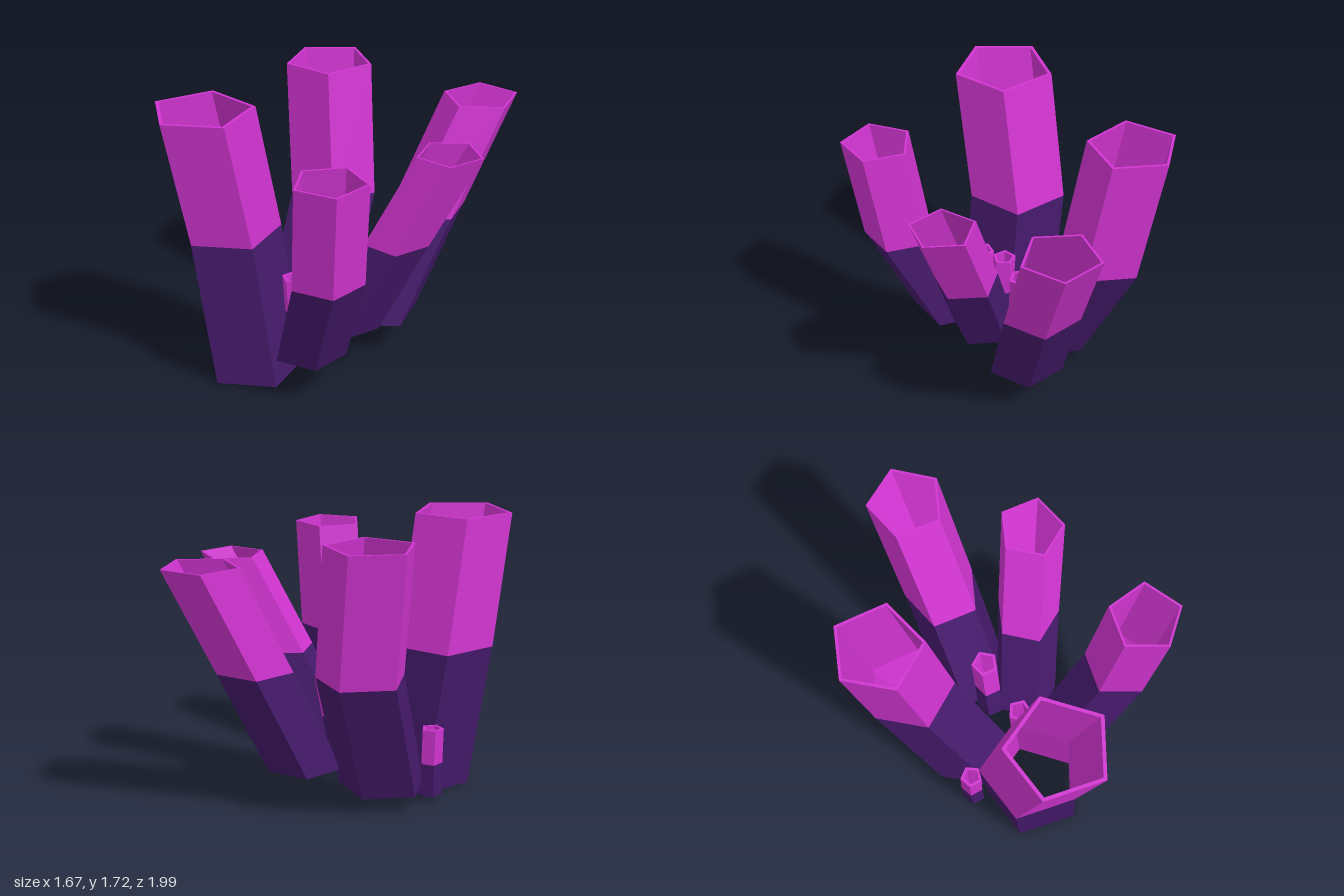
import * as THREE from 'three';

const dark = new THREE.MeshStandardMaterial({ color: 0x451a6b, flatShading: true });
const pink = new THREE.MeshStandardMaterial({ color: 0xd034d0, flatShading: true });
const SIDES = 5;

// Horizontal pentagon; turn is in degrees from +z towards +x
function ring([x, y, z], radius, turn) {
  return Array.from({ length: SIDES }, (_, i) => {
    const a = THREE.MathUtils.degToRad(turn + i * 360 / SIDES);
    return [x + radius * Math.sin(a), y, z + radius * Math.cos(a)];
  });
}

// Flat-faced skin joining successive rings
function skin(rings) {
  const pos = [];
  for (let k = 0; k + 1 < rings.length; k++) {
    const lo = rings[k], up = rings[k + 1];
    for (let i = 0; i < SIDES; i++) {
      const j = (i + 1) % SIDES;
      pos.push(...lo[i], ...lo[j], ...up[j], ...lo[i], ...up[j], ...up[i]);
    }
  }
  const geo = new THREE.BufferGeometry();
  geo.setAttribute('position', new THREE.Float32BufferAttribute(pos, 3));
  geo.computeVertexNormals();
  return geo;
}

// Hollow bent tube: dark lower shell, pink upper shell, rims and lining
function tube({ name, r, wall, turn, path }) {
  const outer = path.map(p => ring(p, r, turn));
  const inner = path.map(p => ring(p, r - wall, turn));
  const group = new THREE.Group();
  group.name = name;
  const lower = new THREE.Mesh(skin([outer[0], outer[1]]), dark);
  lower.name = 'lowerShell';
  const upper = new THREE.Mesh(
    skin([outer[1], outer[2], inner[2], inner[1], inner[0], outer[0]]), pink);
  upper.name = 'upperShellAndLining';
  group.add(lower, upper);
  return group;
}

// Each path gives the centres of the bottom, bend and top rings
const tubes = [
  { name: 'frontRightTube', r: 0.31, wall: 0.025, turn: -6.5,
    path: [[-0.365, 0, 0.49], [-0.50, 0.91, 0.515], [-0.534, 1.72, 0.68]] },
  { name: 'backRightTube', r: 0.275, wall: 0.02, turn: 180,
    path: [[-0.34, 0.10, 0.02], [-0.395, 0.89, -0.37], [-0.50, 1.70, -0.47]] },
  { name: 'backLeftTube', r: 0.235, wall: 0.016, turn: -2,
    path: [[0.09, 0.22, -0.20], [0.25, 0.89, -0.50], [0.408, 1.56, -0.81]] },
  { name: 'leftTube', r: 0.20, wall: 0.014, turn: 178,
    path: [[0.11, 0.305, 0.155], [0.37, 0.89, 0.02], [0.644, 1.48, -0.11]] },
  { name: 'frontLeftTube', r: 0.22, wall: 0.016, turn: -25,
    path: [[0.09, 0.26, 0.505], [0.35, 0.89, 0.67], [0.43, 1.555, 0.738]] },
  { name: 'smallSideTube', r: 0.07, wall: 0.02, turn: 5,
    path: [[-0.59, 0.04, 0.17], [-0.595, 0.25, 0.16], [-0.60, 0.47, 0.16]] },
  { name: 'smallBackTube', r: 0.085, wall: 0.02, turn: 0,
    path: [[-0.06, 0.26, 0.01], [-0.03, 0.52, -0.03], [0.0, 0.77, -0.07]] },
  { name: 'smallMiddleTube', r: 0.075, wall: 0.02, turn: 25,
    path: [[-0.12, 0.20, 0.27], [-0.13, 0.43, 0.26], [-0.14, 0.675, 0.25]] },
  { name: 'smallFrontTube', r: 0.075, wall: 0.02, turn: 0,
    path: [[-0.075, 0.14, 0.40], [-0.09, 0.42, 0.40], [-0.10, 0.665, 0.41]] },
];

export function createModel() {
  const model = new THREE.Group();
  model.name = 'tubeCluster';
  tubes.forEach(t => model.add(tube(t)));
  return model;
}
